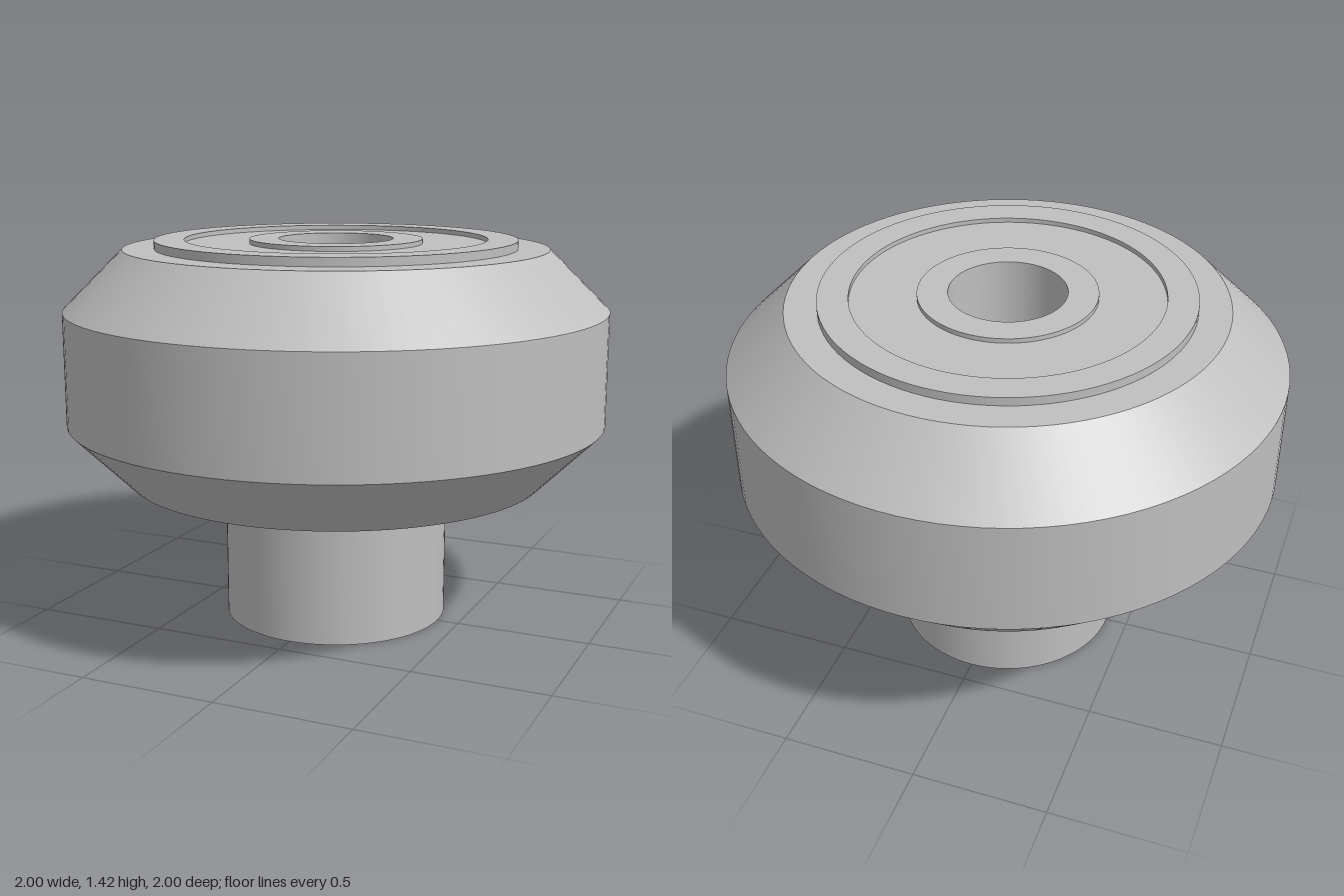
import * as THREE from 'three';
import { toCreasedNormals } from 'three/addons/utils/BufferGeometryUtils.js';

const SEGMENTS = 96;

export function createModel() {
  const group = new THREE.Group();
  group.name = 'rollerWheel';

  const grey = new THREE.MeshStandardMaterial({ color: 0xbfbfbf });
  grey.name = 'plain grey';

  // Revolves a closed [radius, height] outline, listed anticlockwise, keeping its edges crisp
  function ring(name, outline) {
    const points = [...outline, outline[0]].map(([r, y]) => new THREE.Vector2(r, y));
    const geometry = toCreasedNormals(new THREE.LatheGeometry(points, SEGMENTS), Math.PI / 6);
    const mesh = new THREE.Mesh(geometry, grey);
    mesh.name = name;
    group.add(mesh);
  }

  // Ring with a plain rectangular section
  const plainRing = (name, inner, outer, bottom, top) =>
    ring(name, [[inner, bottom], [outer, bottom], [outer, top], [inner, top]]);

  // Wide tyre with chamfered shoulders
  ring('tyre', [
    [0.665, 0.54], [0.78, 0.54], [1, 0.758], [1, 1.174], [0.78, 1.392], [0.665, 1.392],
  ]);

  // Bearing: raised outer race and slightly sunken shield
  plainRing('outerRace', 0.555, 0.665, 0.507, 1.423);
  plainRing('bearingShield', 0.3, 0.555, 0.524, 1.406);

  // Bored sleeve: flush with the race on top, widening into a shaft below the wheel
  ring('sleeve', [
    [0.21, 0], [0.418, 0], [0.418, 0.6], [0.318, 0.6], [0.318, 1.423], [0.21, 1.423],
  ]);

  return group;
}
